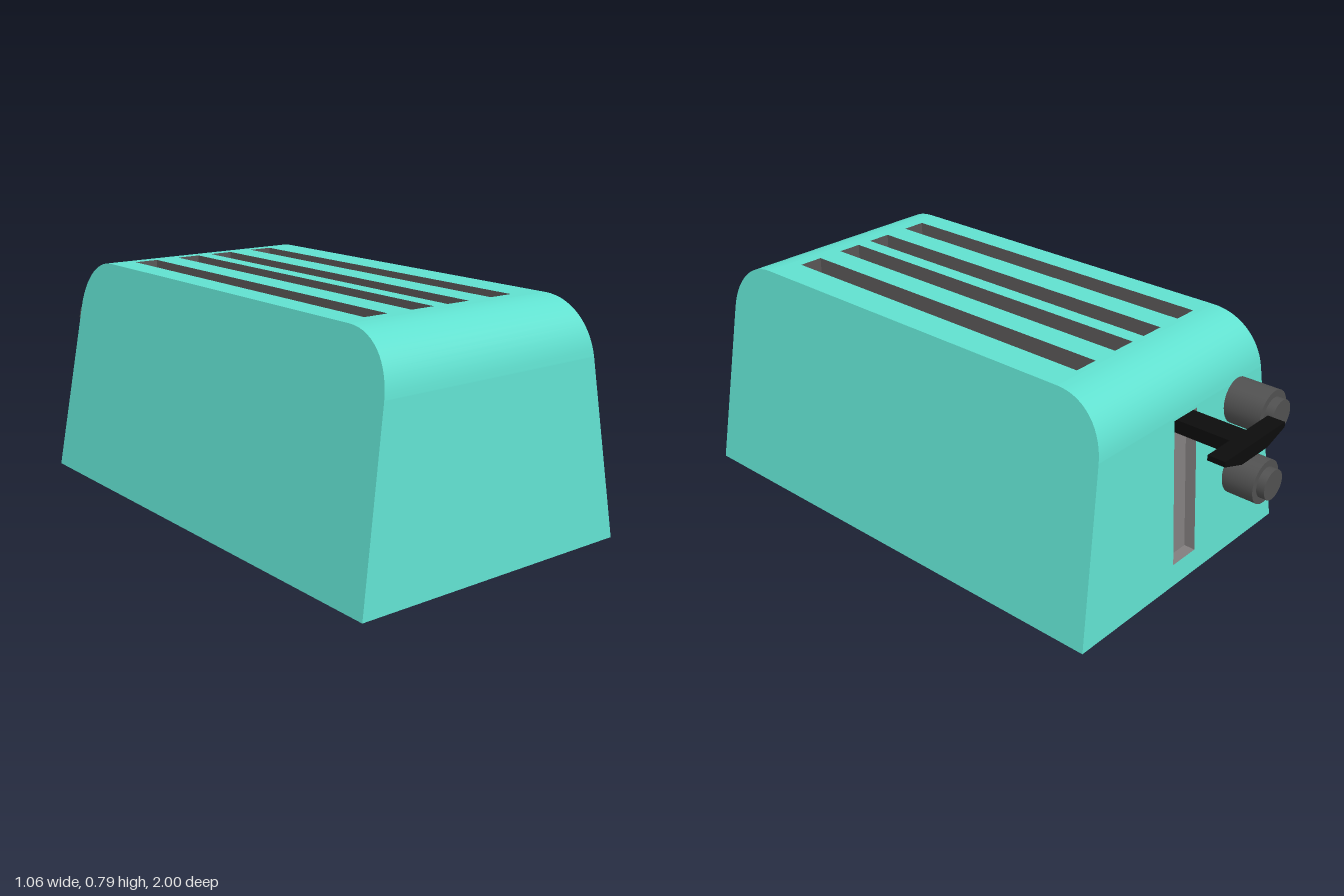
import * as THREE from 'three';

const mat = (name, color) => {
  const m = new THREE.MeshStandardMaterial({ color });
  m.name = name;
  return m;
};

// half width of the tapering body at height y, and z of the leaning back panel
const halfWidth = (y) => 0.53 - 0.158 * y;
const LEAN = 0.0656;
const backZ = (y) => -0.785 + LEAN * y;

// move every vertex by a rule
function warp(geo, rule) {
  const p = geo.attributes.position;
  for (let i = 0; i < p.count; i++) p.setXYZ(i, ...rule(p.getX(i), p.getY(i), p.getZ(i)));
  geo.computeVertexNormals();
  return geo;
}

// strip across the body following [z, y] points
function strip(points) {
  const pos = [], index = [];
  points.forEach(([z, y], i) => {
    pos.push(-halfWidth(y), y, z, halfWidth(y), y, z);
    const a = i * 2;
    if (i) index.push(a - 2, a - 1, a + 1, a - 2, a + 1, a);
  });
  const g = new THREE.BufferGeometry();
  g.setAttribute('position', new THREE.Float32BufferAttribute(pos, 3));
  g.setIndex(index);
  g.computeVertexNormals();
  return g;
}

// inward-facing box with one open face (2 = top, 5 = back)
function pocket(w, h, d, open) {
  const g = new THREE.BoxGeometry(w, h, d);
  const idx = Array.from(g.index.array);
  idx.splice(open * 6, 6);
  g.setIndex(idx.reverse());
  g.clearGroups();
  g.computeVertexNormals();
  return g;
}

const polygon = (pts) => new THREE.Shape(pts.map(([x, y]) => new THREE.Vector2(x, y)));
const rect = (x0, x1, y0, y1) => polygon([[x0, y0], [x1, y0], [x1, y1], [x0, y1]]);

export function createModel() {
  const group = new THREE.Group();
  group.name = 'toaster';
  const teal = mat('teal shell', 0x60e0cf);
  const slotGrey = mat('slot grey', 0x5a5757);
  const channelGrey = mat('channel grey', 0x827e7e);
  const knobGrey = mat('knob grey', 0x515151);
  const black = mat('lever black', 0x0c0c0c);

  const add = (name, geo, material, x = 0, y = 0, z = 0) => {
    const m = new THREE.Mesh(geo, material);
    m.name = name;
    m.position.set(x, y, z);
    group.add(m);
    return m;
  };

  // rounded shoulders
  const H = 0.79, S = 0.61, zf = 0.78, zb = -0.56;
  const curve = (...c) => new THREE.CubicBezierCurve(...c.map(([a, b]) => new THREE.Vector2(a, b)))
    .getPoints(14).map((p) => [p.x, p.y]);
  const frontArc = curve([0.965, S], [0.957, 0.715], [0.885, H], [zf, H]);
  const backArc = curve([zb, H], [-0.665, H], [-0.737, 0.715], [backZ(S), S]);

  // shell: front, shoulders and base
  add('frontPanel', strip([[1, 0], [0.965, S]]), teal);
  add('frontShoulder', strip(frontArc), teal);
  add('backShoulder', strip(backArc), teal);
  add('base', strip([[backZ(0), 0], [1, 0]]), teal);

  // sloping sides
  const profile = [[1, 0], ...frontArc, ...backArc, [backZ(0), 0]];
  for (const s of [1, -1]) {
    const side = new THREE.ShapeGeometry(polygon(profile.map(([z, y]) => [-s * z, y])));
    add(s > 0 ? 'leftSide' : 'rightSide', warp(side, (u, y) => [s * halfWidth(y), y, -s * u]), teal);
  }

  // top with four bread slots
  const slots = [-0.27, -0.087, 0.06, 0.245];
  const w = 0.09, z0 = -0.54, z1 = 0.74, depth = 0.5;
  const top = rect(-halfWidth(H), halfWidth(H), -zf, -zb);
  for (const x of slots) {
    top.holes.push(rect(x - w / 2, x + w / 2, -z1, -z0));
    add('breadSlot', pocket(w, depth, z1 - z0, 2), slotGrey, x, H - depth / 2, (z0 + z1) / 2);
  }
  add('topPanel', new THREE.ShapeGeometry(top).rotateX(-Math.PI / 2), teal, 0, H, 0);

  // leaning back panel with the lever channel
  const cw = 0.06, c0 = 0.08, c1 = 0.6, cd = 0.04;
  const back = polygon([[-halfWidth(0), 0], [halfWidth(0), 0], [halfWidth(S), S], [-halfWidth(S), S]]);
  back.holes.push(rect(-cw, cw, c0, c1));
  add('backPanel', warp(new THREE.ShapeGeometry(back), (x, y) => [-x, y, backZ(y)]), teal);
  const channel = pocket(cw * 2, c1 - c0, cd, 5).translate(0, (c0 + c1) / 2, cd / 2);
  add('leverChannel', warp(channel, (x, y, z) => [x, y, z + backZ(y)]), channelGrey);

  // lever: stem and a handle tapering underneath
  add('leverStem', new THREE.BoxGeometry(0.09, 0.045, 0.24), black, 0, 0.575, -0.83);
  const handle = polygon([[-0.07, 0.55], [0.07, 0.55], [0.165, 0.582], [0.165, 0.6], [-0.165, 0.6], [-0.165, 0.582]]);
  add('leverHandle', new THREE.ExtrudeGeometry(handle, { depth: 0.062, bevelEnabled: false }), black, 0, 0, -1);

  // control knobs with smaller caps
  for (const y of [0.54, 0.28]) {
    const disc = (r, len) => new THREE.CylinderGeometry(r, r, len, 32).rotateX(Math.PI / 2);
    add('knob', disc(0.079, 0.155), knobGrey, -0.293, y, -0.8075);
    add('knobCap', disc(0.055, 0.04), knobGrey, -0.293, y, -0.895);
  }
  return group;
}
